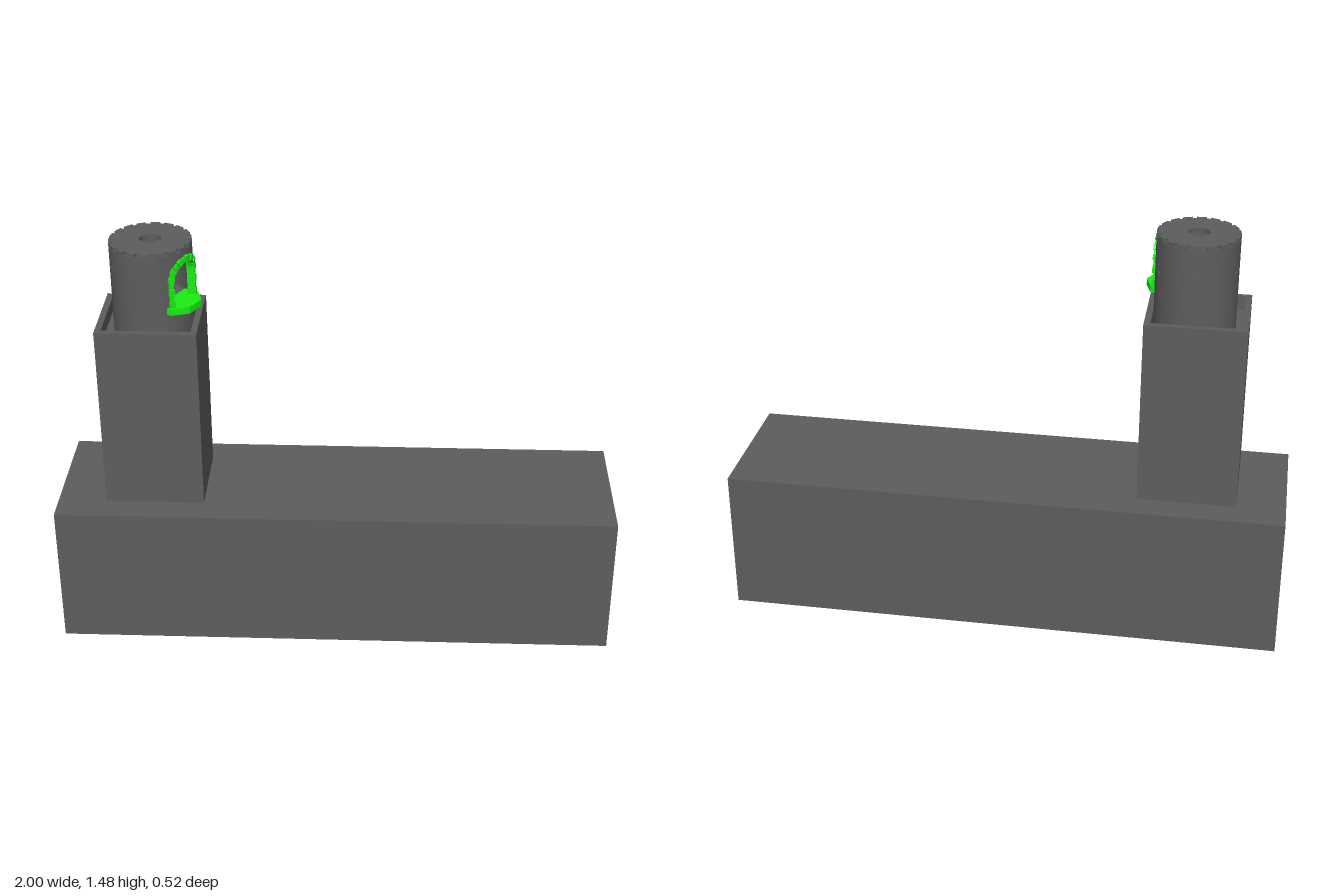
import * as THREE from 'three';
import { mergeGeometries, toCreasedNormals } from 'three/addons/utils/BufferGeometryUtils.js';

const rad = THREE.MathUtils.degToRad;
const CX = -0.637;                                // turret axis
const R = 0.142, RI = 0.122;                      // turret wall radii
const PHI = rad(62);                              // window direction, measured from +z to +x
const BASE = 1.17, RIM = 1.472, TOP = 1.484;      // turret heights
const SILL = 1.283, SPRING = 1.375, ARCH = 0.061; // window opening

const grey = new THREE.MeshStandardMaterial({ color: 0x5d5d5d, side: THREE.DoubleSide });
const green = new THREE.MeshStandardMaterial({ color: 0x1aee12 });
const magenta = new THREE.MeshStandardMaterial({ color: 0xe0189a });

function add(parent, name, geometry, material, x = 0, y = 0, z = 0) {
  const mesh = new THREE.Mesh(geometry, material);
  mesh.name = name;
  mesh.position.set(x, y, z);
  parent.add(mesh);
  return mesh;
}

// A flat outline (u along the wall, y up) wrapped round the turret between two radii
function wrapped(points, r0, r1, phi = PHI) {
  const shape = new THREE.Shape(points.map(([u, y]) => new THREE.Vector2(u, y)));
  const geo = new THREE.ExtrudeGeometry(shape, { depth: r1 - r0, bevelEnabled: false });
  const p = geo.attributes.position;
  for (let i = 0; i < p.count; i++) {
    const a = phi + p.getX(i) / R, r = r0 + p.getZ(i);
    p.setXYZ(i, r * Math.sin(a), p.getY(i), r * Math.cos(a));
  }
  geo.computeVertexNormals();
  return geo;
}

const rect = (u0, u1, y0, y1) => [[u0, y0], [u1, y0], [u1, y1], [u0, y1]];

// A closed ring of rectangular section
function ring(r0, r1, y0, y1, start = 0, length = Math.PI * 2) {
  const pts = [...rect(r0, r1, y0, y1), [r0, y0]].map(([r, y]) => new THREE.Vector2(r, y));
  return toCreasedNormals(new THREE.LatheGeometry(pts, 48, start, length), 0.6);
}

function turretWall(turret) {
  // Wall all round except the window sector
  const half = ARCH / R;
  add(turret, 'turretWall', ring(RI, R, BASE, RIM, PHI + half, Math.PI * 2 - 2 * half), grey);

  // Wall strips below and above the arched opening
  const strips = [], n = 16;
  const archY = (u) => SPRING + Math.sqrt(Math.max(0, ARCH * ARCH - u * u));
  for (let i = 0; i < n; i++) {
    const u0 = -ARCH * Math.cos(Math.PI * i / n), u1 = -ARCH * Math.cos(Math.PI * (i + 1) / n);
    strips.push(wrapped(rect(u0, u1, BASE, SILL - 0.015), RI, R));
    strips.push(wrapped([[u0, archY(u0)], [u1, archY(u1)], [u1, RIM], [u0, RIM]], RI, R));
  }
  add(turret, 'windowWall', toCreasedNormals(mergeGeometries(strips), 0.5), grey);
}

function turretTop(turret) {
  // Roof disc with a round opening
  add(turret, 'turretRoof', ring(0.037, 0.131, RIM - 0.003, TOP), grey);

  // Rim teeth, flush with the roof
  const teeth = [], count = 18, w = Math.PI * 2 * R / count;
  for (let i = 0; i < count; i++) {
    teeth.push(wrapped(rect(-w * 0.34, w * 0.34, RIM, TOP), 0.128, R, i / count * Math.PI * 2));
  }
  add(turret, 'rimTeeth', mergeGeometries(teeth), grey);
}

function turretWindow(turret) {
  const frame = new THREE.Group();
  frame.name = 'windowFrame';
  turret.add(frame);

  // Jamb blocks, alternately deeper
  const jambs = [], h = (SPRING - SILL) / 4;
  for (const side of [-1, 1]) {
    for (let i = 0; i < 4; i++) {
      const c = side * (ARCH + 0.008), w = i % 2 ? 0.008 : 0.01;
      jambs.push(wrapped(rect(c - w, c + w, SILL + i * h, SILL + (i + 1) * h - 0.001), 0.121, i % 2 ? 0.149 : 0.152));
    }
  }
  add(frame, 'jambs', mergeGeometries(jambs), green);

  // Wedge stones of the arch
  const stones = [], n = 13;
  for (let i = 0; i < n; i++) {
    const a0 = Math.PI * (i + 0.05) / n, a1 = Math.PI * (i + 0.95) / n;
    const outer = ARCH + (i % 2 ? 0.016 : 0.019), inner = ARCH - 0.002;
    const at = (r, a) => [r * Math.cos(a), SPRING + r * Math.sin(a)];
    stones.push(wrapped([at(inner, a0), at(outer, a0), at(outer, a1), at(inner, a1)], 0.121, i % 2 ? 0.149 : 0.152));
  }
  add(frame, 'archStones', mergeGeometries(stones), green);

  // Deep sill slab with clipped outer corners
  const outline = [[-0.08, 0.078], [0.08, 0.078], [0.083, 0.132], [0.036, 0.177], [-0.036, 0.177], [-0.083, 0.132]];
  const slab = new THREE.Shape(outline.map(([x, z]) => new THREE.Vector2(x, -z)));
  const geo = new THREE.ExtrudeGeometry(slab, { depth: 0.024, bevelEnabled: false });
  geo.rotateX(-Math.PI / 2).rotateY(PHI);
  add(frame, 'sill', geo, green, 0, SILL - 0.024, 0);
}

export function createModel() {
  const model = new THREE.Group();
  model.name = 'towerBuilding';

  // Long main block
  add(model, 'baseBlock', new THREE.BoxGeometry(2, 0.525, 0.52), grey, 0, 0.2625, 0);

  // Square tower with a sunken roof inside a thin parapet
  const tower = new THREE.Group();
  tower.name = 'squareTower';
  tower.position.x = -0.65;
  model.add(tower);
  const w = 0.352, d = 0.318, t = 0.022, deck = 1.15, rim = 1.2;
  add(tower, 'towerShaft', new THREE.BoxGeometry(w, deck - 0.525, d), grey, 0, (deck + 0.525) / 2, 0);
  for (const s of [-1, 1]) {
    add(tower, 'parapetSide', new THREE.BoxGeometry(t, rim - deck, d), grey, s * (w - t) / 2, (rim + deck) / 2, 0);
    add(tower, 'parapetEnd', new THREE.BoxGeometry(w - 2 * t, rim - deck, t), grey, 0, (rim + deck) / 2, s * (d - t) / 2);
  }

  // Round turret
  const turret = new THREE.Group();
  turret.name = 'roundTurret';
  turret.position.x = CX;
  model.add(turret);
  turretWall(turret);
  turretTop(turret);
  turretWindow(turret);
  add(turret, 'turretFoot', new THREE.CylinderGeometry(R, R, 0.02, 48), grey, 0, 1.16, 0);
  add(turret, 'turretFloor', new THREE.CylinderGeometry(RI, RI, 0.02, 48), grey, 0, 1.255, 0);

  // Low curb round a faceted cone in the middle of the floor
  add(turret, 'floorCurb', ring(0.04, 0.075, 1.26, 1.302), grey);
  add(turret, 'floorCone', toCreasedNormals(new THREE.ConeGeometry(0.039, 0.03, 10), 0.1), magenta, 0, 1.28, 0);

  // Small stones standing proud of the wall: direction in degrees, height
  const spots = [[-11, 1.425], [17, 1.325], [120, 1.355], [156, 1.355], [181, 1.365], [247, 1.365], [300, 1.4]];
  for (const [angle, y] of spots) {
    add(turret, 'wallStone', wrapped(rect(-0.006, 0.006, y - 0.005, y + 0.005), R - 0.004, R + 0.004, rad(angle)), grey);
  }
  return model;
}
